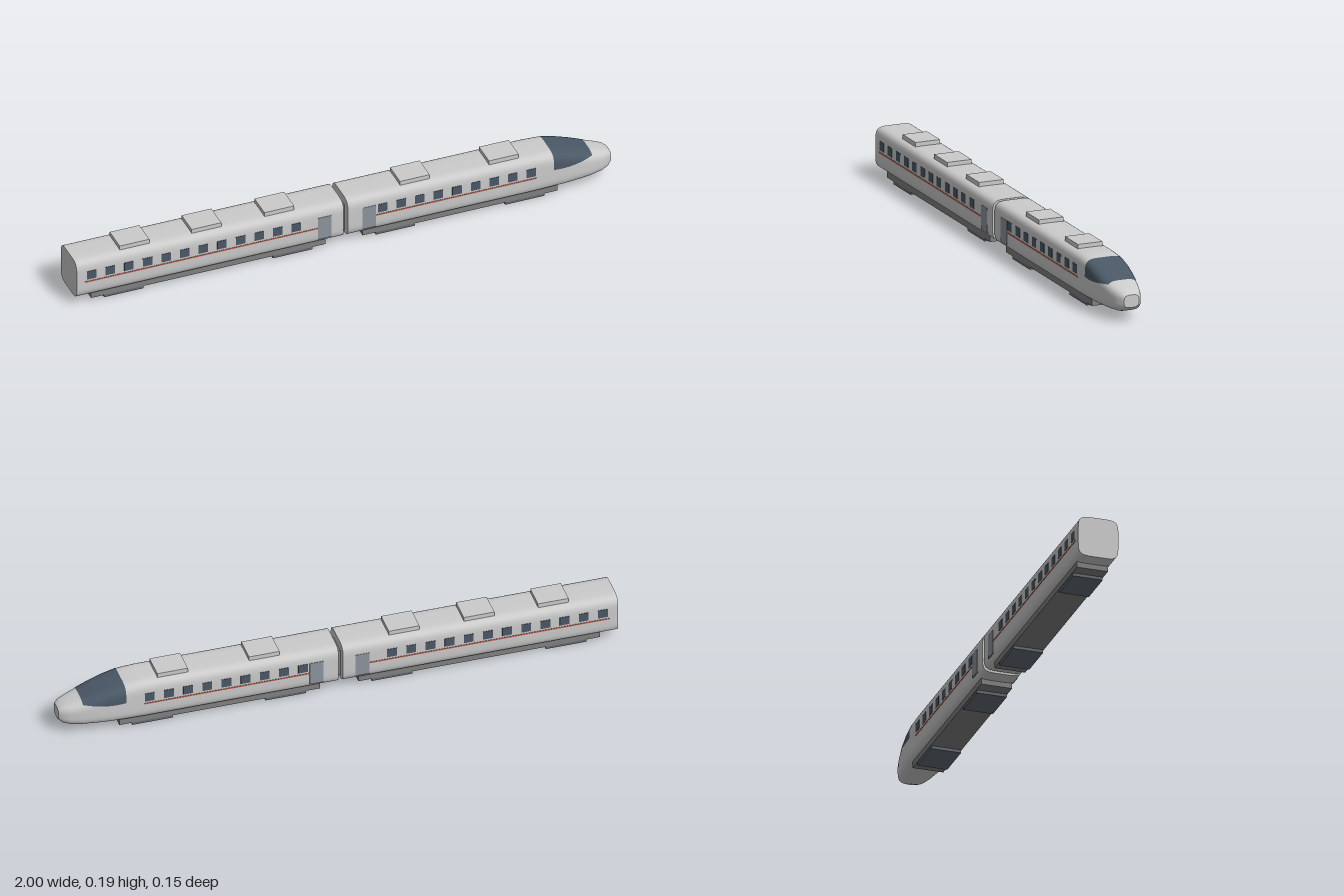
import * as THREE from 'three';

const paint = (color) => new THREE.MeshStandardMaterial({ color });
const GREY = paint(0xcccccc);
const GLASS = paint(0x4a5866);
const DOOR = paint(0x8c949c);
const STRIPE = paint(0xc0604c);
const SKIRT = paint(0x808080);
const BOGIE = paint(0x646a72);

// Hull stations: x, bottom, top, half width, corner sharpness
const REAR_CAR = [[-1, 0.03, 0.178, 0.073, 5.5], [-0.01, 0.03, 0.178, 0.073, 5.5]];
const FRONT_CAR = [
  [0.006, 0.03, 0.178, 0.073, 5.5],
  [0.7, 0.03, 0.178, 0.073, 5.5],
  [0.76, 0.03, 0.176, 0.073, 5],
  [0.82, 0.03, 0.163, 0.072, 4.4],
  [0.87, 0.03, 0.149, 0.068, 3.8],
  [0.92, 0.031, 0.132, 0.061, 3.4],
  [0.96, 0.034, 0.12, 0.051, 3.2],
  [0.985, 0.042, 0.112, 0.041, 3.2],
  [1, 0.055, 0.1, 0.028, 3.2],
];

// Station at any x, blended between its neighbours
function stationAt(stations, x) {
  let i = 1;
  while (i < stations.length - 1 && stations[i][0] < x) i++;
  const a = stations[i - 1], b = stations[i];
  const t = (x - a[0]) / (b[0] - a[0]);
  return a.map((v, k) => v + (b[k] - v) * t);
}

// Point on the rounded-square section at an angle; grow pushes it outwards
function hullPoint([x, bottom, top, half, n], angle, grow = 0) {
  const c = Math.cos(angle), s = Math.sin(angle);
  const r = 1 / Math.pow(Math.abs(c) ** n + Math.abs(s) ** n, 1 / n);
  const h = (top - bottom) / 2;
  return [x, (top + bottom) / 2 + (h + grow) * r * s, (half + grow) * r * c];
}

// Skin through rows of points, outward for rows running along +x
function skin(rows) {
  const m = rows[0].length, index = [];
  for (let i = 0; i < rows.length - 1; i++) {
    for (let j = 0; j < m - 1; j++) {
      const a = i * m + j, b = a + m;
      index.push(a, b, a + 1, b, b + 1, a + 1);
    }
  }
  const geo = new THREE.BufferGeometry();
  geo.setAttribute('position', new THREE.Float32BufferAttribute(rows.flat(2), 3));
  geo.setIndex(index);
  geo.computeVertexNormals();
  return geo;
}

function addMesh(parent, name, geo, material) {
  const mesh = new THREE.Mesh(geo, material);
  mesh.name = name;
  parent.add(mesh);
  return mesh;
}

// Box given by its limits on each axis
function addBox(parent, name, [x0, x1], [y0, y1], [z0, z1], material) {
  const geo = new THREE.BoxGeometry(x1 - x0, y1 - y0, z1 - z0);
  const mesh = addMesh(parent, name, geo, material);
  mesh.position.set((x0 + x1) / 2, (y0 + y1) / 2, (z0 + z1) / 2);
}

// Car shell with flat end caps
function addHull(parent, stations) {
  const STEPS = 64;
  const ring = (st) => Array.from({ length: STEPS + 1 }, (_, j) =>
    hullPoint(st, (j % STEPS) / STEPS * Math.PI * 2 - Math.PI / 2));
  const rings = stations.map(ring);
  const geo = skin(rings);

  // Match normals across the seam under the car
  const normal = geo.attributes.normal;
  for (let i = 0; i < rings.length; i++) {
    const a = i * (STEPS + 1), b = a + STEPS;
    const n = new THREE.Vector3().fromBufferAttribute(normal, a)
      .add(new THREE.Vector3().fromBufferAttribute(normal, b)).normalize();
    for (const k of [a, b]) normal.setXYZ(k, n.x, n.y, n.z);
  }
  addMesh(parent, 'bodyShell', geo, GREY);

  const cap = (st) => ring(st).map(() => [st[0], (st[1] + st[2]) / 2, 0]);
  const first = stations[0], last = stations[stations.length - 1];
  addMesh(parent, 'rearEnd', skin([cap(first), ring(first)]), GREY);
  addMesh(parent, 'frontEnd', skin([ring(last), cap(last)]), GREY);
}

// Wraparound cab glass, narrowing towards the nose
function addWindscreen(parent) {
  const rows = [];
  for (let i = 0; i <= 15; i++) {
    const t = i / 15;
    const st = stationAt(FRONT_CAR, 0.77 + 0.15 * t);
    const start = 0.15 + 0.6 * t * t;
    rows.push(Array.from({ length: 49 }, (_, j) =>
      hullPoint(st, start + (Math.PI - 2 * start) * j / 48, 0.001)));
  }
  addMesh(parent, 'windscreen', skin(rows), GLASS).material.side = THREE.DoubleSide;
}

function addCar(parent, spec) {
  const car = new THREE.Group();
  car.name = spec.name;
  parent.add(car);
  addHull(car, spec.stations);

  // Side fittings on both flanks
  for (const side of [1, -1]) {
    const z = side > 0 ? [0.068, 0.0742] : [-0.0742, -0.068];
    for (let i = 0; i < spec.windows; i++) {
      const x = spec.firstWindow + i * 0.069;
      addBox(car, 'window', [x - 0.0175, x + 0.0175], [0.105, 0.138], z, GLASS);
    }
    addBox(car, 'door', spec.door, [0.05, 0.138], z, DOOR);
    addBox(car, 'stripe', spec.stripe, [0.093, 0.098], z, STRIPE);
  }

  // Roof units, underfloor skirt and bogies
  for (const x of spec.roofUnits) {
    addBox(car, 'roofUnit', [x - 0.055, x + 0.055], [0.17, 0.193], [-0.046, 0.046], GREY);
  }
  addBox(car, 'underfloor', spec.underfloor, [0.011, 0.034], [-0.056, 0.056], SKIRT);
  for (const x of spec.bogies) {
    addBox(car, 'bogie', [x - 0.073, x + 0.073], [0, 0.015], [-0.054, 0.054], BOGIE);
  }
  return car;
}

export function createModel() {
  const train = new THREE.Group();
  train.name = 'train';

  addCar(train, {
    name: 'rearCar', stations: REAR_CAR,
    windows: 12, firstWindow: -0.945,
    door: [-0.105, -0.055], stripe: [-0.97, -0.105],
    roofUnits: [-0.775, -0.508, -0.238],
    underfloor: [-0.94, -0.07], bogies: [-0.818, -0.192],
  });
  const frontCar = addCar(train, {
    name: 'frontCar', stations: FRONT_CAR,
    windows: 9, firstWindow: 0.134,
    door: [0.06, 0.11], stripe: [0.11, 0.705],
    roofUnits: [0.265, 0.595],
    underfloor: [0.067, 0.79], bogies: [0.19, 0.67],
  });
  addWindscreen(frontCar);

  // Gangway between the cars
  addBox(train, 'gangway', [-0.015, 0.011], [0.04, 0.145], [-0.04, 0.04], SKIRT);
  return train;
}
